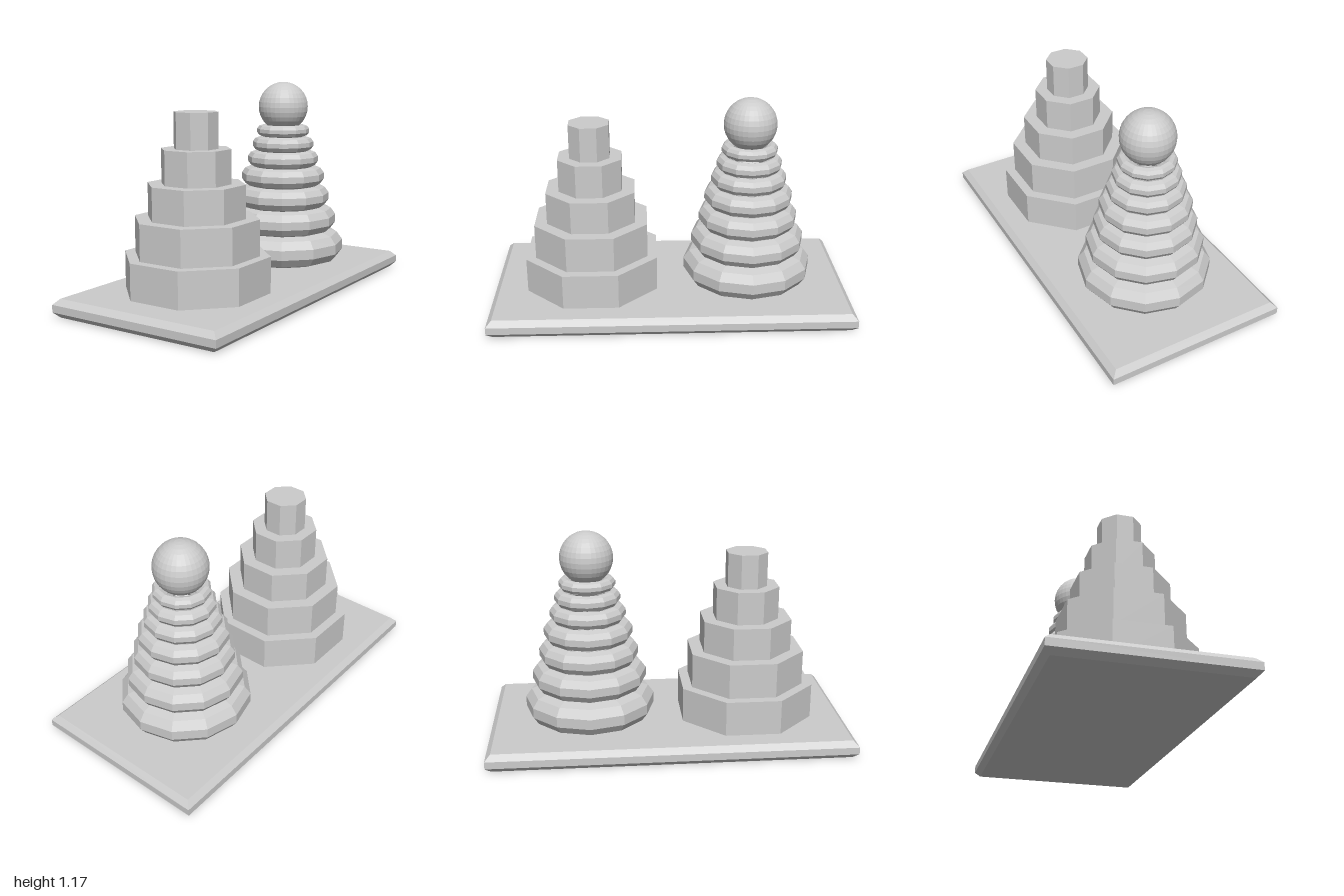
import * as THREE from 'three';

const material = new THREE.MeshStandardMaterial({ color: 0xcccccc, flatShading: true });

function addPart(parent, name, geometry, x, y, z) {
  const mesh = new THREE.Mesh(geometry, material);
  mesh.name = name;
  mesh.position.set(x, y, z);
  parent.add(mesh);
  return mesh;
}

// Rectangular board with a single chamfer along every edge
function boardGeometry(halfX, halfZ, height, chamfer) {
  const x = halfX - chamfer, z = halfZ - chamfer;
  const shape = new THREE.Shape([
    new THREE.Vector2(-x, -z), new THREE.Vector2(x, -z),
    new THREE.Vector2(x, z), new THREE.Vector2(-x, z),
  ]);
  const geometry = new THREE.ExtrudeGeometry(shape, {
    depth: height - 2 * chamfer, bevelEnabled: true,
    bevelSize: chamfer, bevelThickness: chamfer, bevelSegments: 1,
  });
  return geometry.rotateX(-Math.PI / 2).translate(0, chamfer, 0);
}

// Twelve-sided ring whose ten-sided section has an upright outer face
function ringGeometry(outer, tube) {
  const sides = 10, step = (2 * Math.PI) / sides;
  const centre = outer - tube * Math.cos(step / 2);
  const profile = [];
  for (let i = 0; i <= sides; i++) {
    const a = (i - 0.5) * step;
    profile.push(new THREE.Vector2(centre + tube * Math.cos(a), tube * Math.sin(a)));
  }
  return new THREE.LatheGeometry(profile, 12);
}

export function createModel() {
  const model = new THREE.Group();
  model.name = 'stackingToy';

  addPart(model, 'baseBoard', boardGeometry(0.51, 1, 0.1, 0.03), 0, 0, 0);

  // Stepped tower of octagonal blocks: [half width across flats, bottom, top]
  const blockTower = new THREE.Group();
  blockTower.name = 'blockTower';
  blockTower.position.z = 0.443;
  const blocks = [
    [0.365, 0.1, 0.295], [0.312, 0.295, 0.49], [0.244, 0.49, 0.67],
    [0.174, 0.67, 0.853], [0.11, 0.853, 1.044],
  ];
  blocks.forEach(([flat, bottom, top], i) => {
    const r = flat / Math.cos(Math.PI / 8);
    const geometry = new THREE.CylinderGeometry(r, r, top - bottom, 8).rotateY(Math.PI / 8);
    addPart(blockTower, `octagonBlock${i + 1}`, geometry, 0, (bottom + top) / 2, 0);
  });
  model.add(blockTower);

  // Stack of shrinking rings: [outer radius, centre height, tube radius]
  const ringTower = new THREE.Group();
  ringTower.name = 'ringTower';
  ringTower.position.z = -0.442;
  const rings = [
    [0.364, 0.192, 0.092], [0.32, 0.353, 0.076], [0.278, 0.488, 0.066], [0.248, 0.61, 0.059],
    [0.211, 0.714, 0.049], [0.182, 0.803, 0.043], [0.156, 0.883, 0.035],
  ];
  rings.forEach(([outer, y, tube], i) => {
    addPart(ringTower, `ring${i + 1}`, ringGeometry(outer, tube), 0, y, 0);
  });

  // Ball on top
  addPart(ringTower, 'topBall', new THREE.SphereGeometry(0.147, 32, 16), 0, 1.025, 0);
  model.add(ringTower);

  return model;
}
